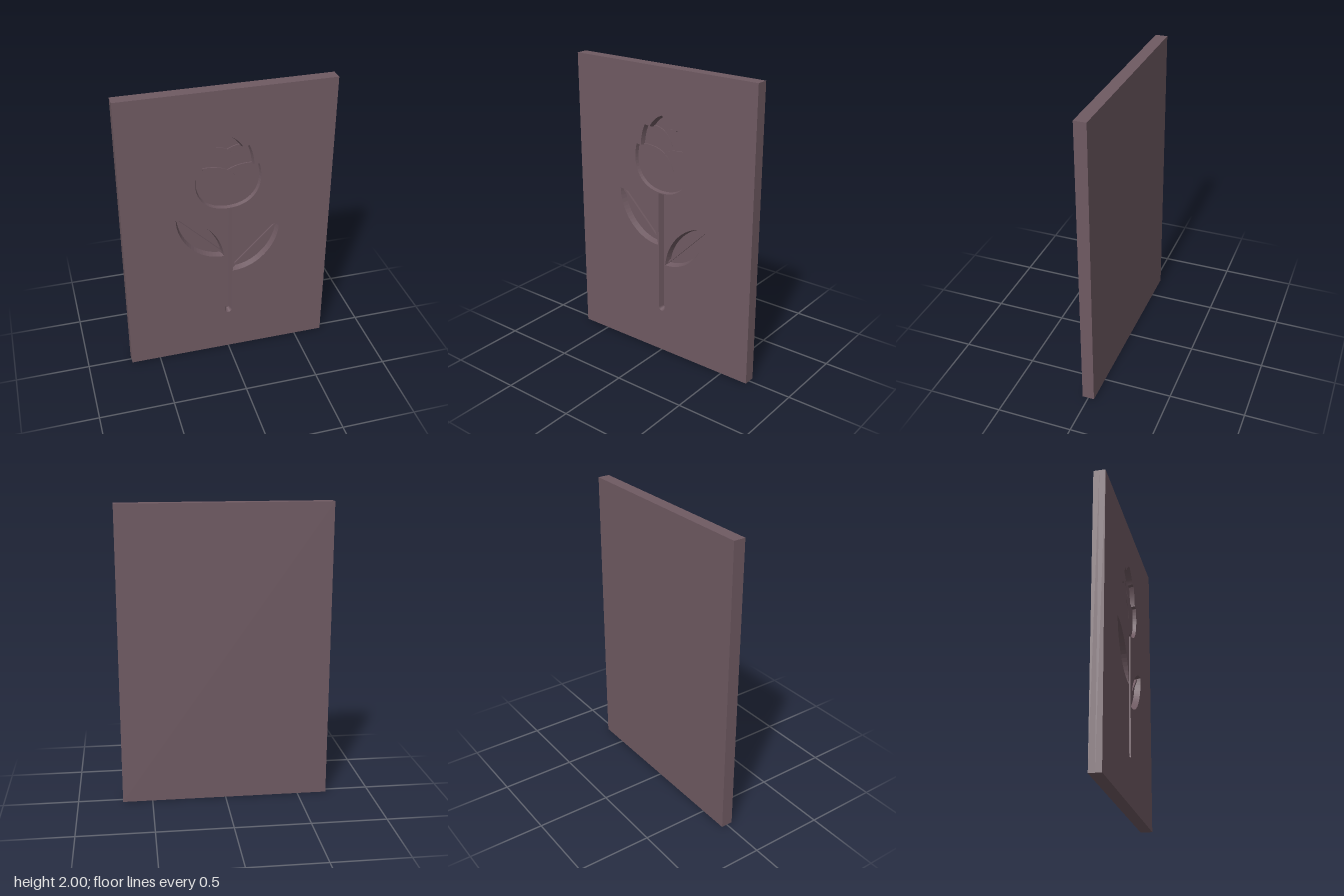
import * as THREE from 'three';

const W = 1.4, H = 2, FRONT = 0.04, FLOOR = 0, TAPER = 0.012;
const material = new THREE.MeshStandardMaterial({ color: 0x6f5a62, side: THREE.DoubleSide });

const mirror = (pts) => pts.map((p) => new THREE.Vector2(-p.x, p.y)).reverse();

function addMesh(parent, name, geometry) {
  const mesh = new THREE.Mesh(geometry, material);
  mesh.name = name;
  parent.add(mesh);
  return mesh;
}

// Moves a closed outline inwards with mitred corners
function inset(pts, d) {
  const sign = THREE.ShapeUtils.area(pts) > 0 ? 1 : -1;
  const n = pts.length;
  return pts.map((p, i) => {
    const a = p.clone().sub(pts[(i + n - 1) % n]).normalize();
    const b = pts[(i + 1) % n].clone().sub(p).normalize();
    const normal = new THREE.Vector2(-a.y - b.y, a.x + b.x).normalize();
    const cos = Math.max(0.5, normal.x * -a.y + normal.y * a.x);
    return p.clone().addScaledVector(normal, (sign * d) / cos);
  });
}

// Sloping wall from the front face down to the floor of a recess
function wallGeometry(pts) {
  const low = inset(pts, TAPER), pos = [];
  pts.forEach((p, i) => {
    const j = (i + 1) % pts.length, q = pts[j], r = low[j], s = low[i];
    pos.push(p.x, p.y, FRONT, q.x, q.y, FRONT, r.x, r.y, FLOOR);
    pos.push(p.x, p.y, FRONT, r.x, r.y, FLOOR, s.x, s.y, FLOOR);
  });
  const geometry = new THREE.BufferGeometry();
  geometry.setAttribute('position', new THREE.Float32BufferAttribute(pos, 3));
  geometry.computeVertexNormals();
  return geometry;
}

// Flat piece standing on the recess floor
function raised(shape, height) {
  const geometry = new THREE.ExtrudeGeometry(shape, { depth: height, bevelEnabled: false, curveSegments: 20 });
  return geometry.translate(0, 0, FLOOR);
}

function flowerOutline() {
  const half = new THREE.Path();
  half.moveTo(0, 1.69);
  half.quadraticCurveTo(-0.06, 1.665, -0.095, 1.605);
  half.lineTo(-0.135, 1.61);
  half.quadraticCurveTo(-0.165, 1.55, -0.17, 1.47);
  half.lineTo(-0.205, 1.468);
  half.bezierCurveTo(-0.25, 1.3, -0.17, 1.17, 0, 1.17);
  const left = half.getPoints(20);
  return [...left, ...mirror(left).slice(1, -1)];
}

function leafOutline() {
  const leaf = new THREE.Path();
  leaf.moveTo(-0.35, 1.13);
  leaf.bezierCurveTo(-0.22, 1.13, -0.05, 1.0, -0.03, 0.795);
  leaf.bezierCurveTo(-0.2, 0.79, -0.35, 0.95, -0.35, 1.13);
  return leaf.getPoints(20).slice(0, -1);
}

function stemOutline() {
  const stem = new THREE.Path();
  stem.moveTo(0.024, 1.165);
  stem.lineTo(-0.024, 1.165);
  stem.lineTo(-0.024, 0.33);
  stem.absarc(0, 0.33, 0.024, Math.PI, Math.PI * 2, false);
  const pts = stem.getPoints(10);
  return pts.filter((p, i) => i === 0 || p.distanceTo(pts[i - 1]) > 1e-5);
}

export function createModel() {
  const model = new THREE.Group();
  model.name = 'carvedFlowerPanel';

  const leftLeaf = leafOutline();
  const recesses = {
    flowerWall: flowerOutline(),
    stemWall: stemOutline(),
    upperLeafWall: leftLeaf,
    lowerLeafWall: mirror(leftLeaf).map((p) => p.setY(p.y - 0.133)),
  };

  // Panel: solid back half, front half pierced by the recesses
  addMesh(model, 'panelBack', new THREE.BoxGeometry(W, H, 0.04).translate(0, H / 2, -0.02));
  const face = new THREE.Shape([[-W / 2, 0], [W / 2, 0], [W / 2, H], [-W / 2, H]].map((p) => new THREE.Vector2(...p)));
  for (const pts of Object.values(recesses)) face.holes.push(new THREE.Path(pts));
  addMesh(model, 'panelFront', raised(face, FRONT - FLOOR));
  for (const [name, pts] of Object.entries(recesses)) addMesh(model, name, wallGeometry(pts));

  // Middle petals, one step above the floor
  const middle = new THREE.Shape();
  middle.moveTo(-0.16, 1.42);
  middle.lineTo(-0.17, 1.47);
  middle.quadraticCurveTo(-0.165, 1.55, -0.135, 1.61);
  middle.quadraticCurveTo(-0.06, 1.615, 0, 1.583);
  middle.quadraticCurveTo(0.06, 1.615, 0.135, 1.61);
  middle.quadraticCurveTo(0.165, 1.55, 0.17, 1.47);
  middle.lineTo(0.16, 1.42);
  addMesh(model, 'middlePetals', raised(middle, 0.008));

  // Front petals, two steps above the floor
  const front = new THREE.Shape();
  front.moveTo(0, 1.17);
  front.bezierCurveTo(0.17, 1.17, 0.25, 1.3, 0.205, 1.468);
  front.quadraticCurveTo(0.08, 1.485, 0, 1.44);
  front.quadraticCurveTo(-0.08, 1.485, -0.205, 1.468);
  front.bezierCurveTo(-0.25, 1.3, -0.17, 1.17, 0, 1.17);
  addMesh(model, 'frontPetals', raised(front, 0.016));

  // Fading folds where the left petals overlap the right ones
  for (const [y, size, height] of [[1.44, 1, 0.019], [1.583, 0.8, 0.011]]) {
    const fold = new THREE.Shape();
    fold.moveTo(0, y);
    fold.quadraticCurveTo(0.055 * size, y - 0.03 * size, 0.08 * size, y - 0.11 * size);
    fold.quadraticCurveTo(0.045 * size, y - 0.042 * size, 0, y);
    addMesh(model, 'petalFold', raised(fold, height));
  }

  // Leaf midribs
  for (const [name, side, y] of [['upperLeafRib', -1, 0.963], ['lowerLeafRib', 1, 0.83]]) {
    const rib = addMesh(model, name, new THREE.BoxGeometry(0.445, 0.014, 0.015));
    rib.position.set(side * 0.19, y, FLOOR + 0.0075);
    rib.rotation.z = side * Math.PI / 4;
  }
  return model;
}
